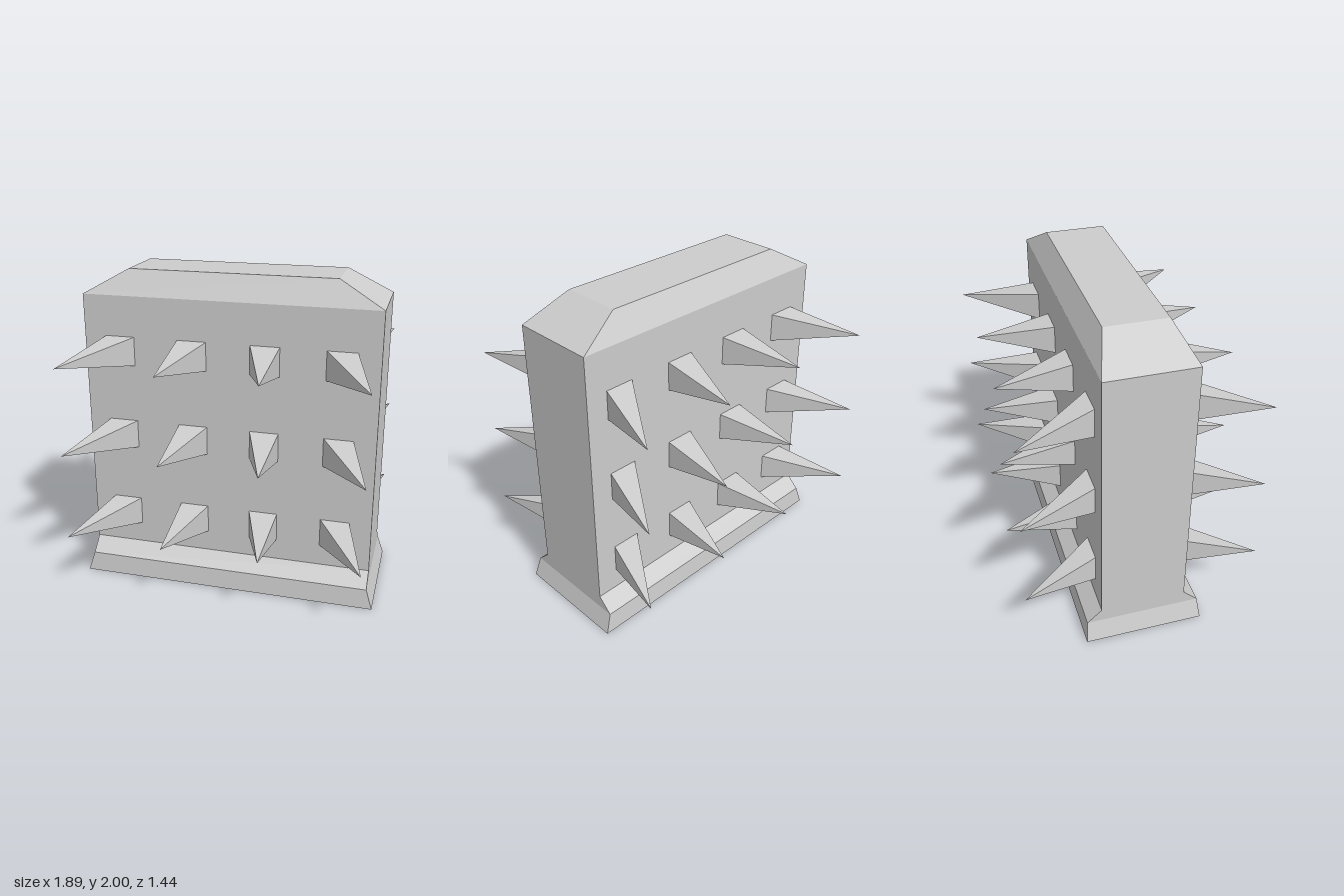
import * as THREE from 'three';

// Loft through rectangular rings given as [y, halfWidth, halfDepth]
function loftRings(rings) {
  const pos = [], idx = [];
  for (const [y, w, d] of rings) pos.push(w, y, d, w, y, -d, -w, y, -d, -w, y, d);
  for (let i = 0; i < rings.length - 1; i++) {
    for (let j = 0; j < 4; j++) {
      const a = i * 4 + j, b = i * 4 + (j + 1) % 4;
      idx.push(a, b, b + 4, a, b + 4, a + 4);
    }
  }
  const t = (rings.length - 1) * 4;
  idx.push(2, 1, 0, 3, 2, 0, t, t + 1, t + 2, t, t + 2, t + 3);
  const g = new THREE.BufferGeometry();
  g.setAttribute('position', new THREE.Float32BufferAttribute(pos, 3));
  g.setIndex(idx);
  const flat = g.toNonIndexed();
  flat.computeVertexNormals();
  return flat;
}

// Square pyramid along z whose tip leans sideways by `lean`
const SPIKE_LENGTH = 0.457, SPIKE_HALF = 0.0895;
function spikeGeometry(side, lean) {
  let g = new THREE.ConeGeometry(SPIKE_HALF * Math.SQRT2, SPIKE_LENGTH, 4, 1, true);
  g.rotateY(Math.PI / 4);
  g.translate(0, SPIKE_LENGTH / 2, 0);
  g.rotateX(side * Math.PI / 2);
  const p = g.attributes.position;
  for (let i = 0; i < p.count; i++) {
    p.setX(i, p.getX(i) + lean * Math.abs(p.getZ(i)) / SPIKE_LENGTH);
  }
  g = g.toNonIndexed();
  g.computeVertexNormals();
  return g;
}

export function createModel() {
  const group = new THREE.Group();
  const stone = new THREE.MeshStandardMaterial({ color: 0xcccccc, flatShading: true });
  stone.name = 'grey stone';

  // Wall: flared foot, straight slab and bevelled top
  const wall = new THREE.Mesh(loftRings([
    [0, 0.943, 0.368],
    [0.125, 0.903, 0.354],
    [0.21, 0.903, 0.264],
    [1.85, 0.903, 0.264],
    [2, 0.632, 0.184],
  ]), stone);
  wall.name = 'wall';
  group.add(wall);

  // Three rows of four spikes on the front and back, leaning outward
  const columns = [[0.224, 0.074], [0.677, 0.22]];
  for (const side of [1, -1]) {
    const spikes = new THREE.Group();
    spikes.name = side > 0 ? 'frontSpikes' : 'backSpikes';
    for (const [x, lean] of columns) {
      for (const mirror of [1, -1]) {
        const geometry = spikeGeometry(side, lean * mirror);
        for (const y of [0.434, 0.973, 1.511]) {
          const spike = new THREE.Mesh(geometry, stone);
          spike.name = 'spike';
          spike.position.set(x * mirror, y, side * 0.264);
          spikes.add(spike);
        }
      }
    }
    group.add(spikes);
  }
  return group;
}
